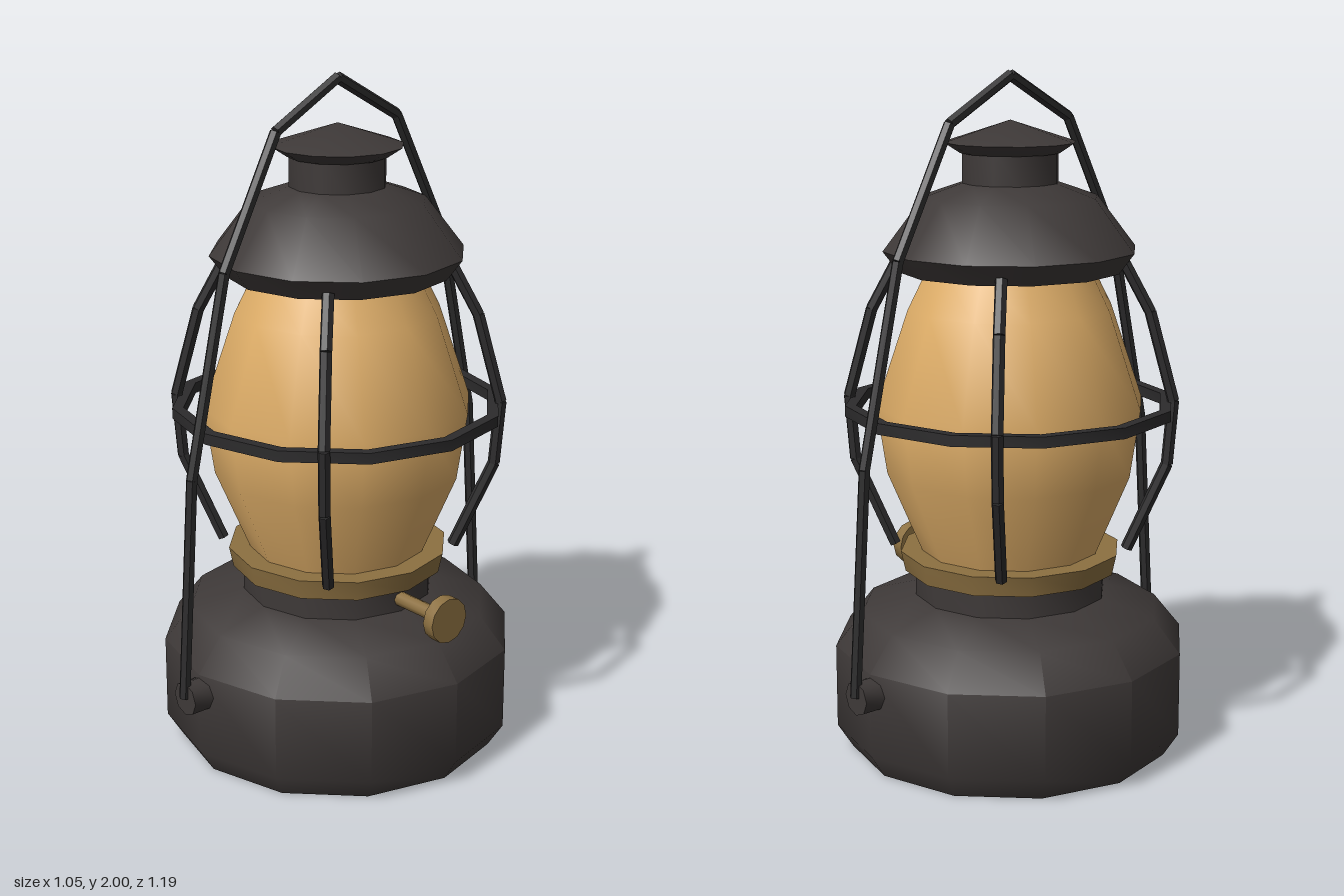
import * as THREE from 'three';
import { toCreasedNormals } from 'three/addons/utils/BufferGeometryUtils.js';

export function createModel() {
  const lantern = new THREE.Group();
  lantern.name = 'lantern';

  const material = (name, color) => {
    const m = new THREE.MeshStandardMaterial({ color });
    m.name = name;
    return m;
  };
  const darkMetal = material('darkMetal', 0x3e3938);
  const wireMetal = material('wireMetal', 0x2c2b2c);
  const brass = material('brass', 0x8c7041);
  const glass = material('amberGlass', 0xdfae68);

  const add = (name, geometry, mat, parent = lantern) => {
    const mesh = new THREE.Mesh(geometry, mat);
    mesh.name = name;
    parent.add(mesh);
    return mesh;
  };
  // Twelve-sided turned part, profile as [radius, height] from bottom to top
  const turned = (name, profile, mat) => add(name, toCreasedNormals(
    new THREE.LatheGeometry(profile.map(([r, y]) => new THREE.Vector2(r, y)), 12), 0.75), mat);
  // Chain of straight rods through a list of points
  const rods = (name, points, radius, sides) => {
    const group = new THREE.Group();
    group.name = name;
    for (let i = 0; i < points.length - 1; i++) {
      const a = points[i], dir = points[i + 1].clone().sub(a);
      const rod = add(name + 'Rod', toCreasedNormals(
        new THREE.CylinderGeometry(radius, radius, dir.length(), sides), 0.75), wireMetal, group);
      rod.position.copy(a).addScaledVector(dir, 0.5);
      rod.quaternion.setFromUnitVectors(new THREE.Vector3(0, 1, 0), dir.normalize());
    }
    lantern.add(group);
  };

  // Fuel tank with its collar
  turned('fuelTank', [[0, 0], [0.48, 0], [0.525, 0.07], [0.525, 0.32], [0.445, 0.42], [0.285, 0.465]], darkMetal);
  turned('collar', [[0.285, 0.45], [0.285, 0.55]], darkMetal);
  turned('burnerRing', [[0, 0.54], [0.315, 0.54], [0.328, 0.6], [0, 0.6]], brass);

  // Glass globe
  turned('globe', [[0.26, 0.59], [0.365, 0.84], [0.395, 1.04], [0.3, 1.32], [0.24, 1.44]], glass);

  // Hood, chimney and cap
  turned('hood', [[0, 1.43], [0.325, 1.43], [0.37, 1.49], [0.255, 1.64], [0.14, 1.68]], darkMetal);
  turned('chimney', [[0.14, 1.67], [0.14, 1.78]], darkMetal);
  turned('cap', [[0, 1.765], [0.145, 1.765], [0.19, 1.795], [0, 1.857]], darkMetal);

  // Wire guard: a hoop and four bent uprights
  turned('guardHoop', [[0.452, 1.014], [0.485, 1.014], [0.485, 1.046], [0.452, 1.046], [0.452, 1.014]], wireMetal);
  const upright = [[0.345, 0.6], [0.46, 0.86], [0.475, 1.05], [0.405, 1.31], [0.33, 1.45]];
  for (let i = 0; i < 4; i++) {
    const angle = Math.PI / 4 + i * Math.PI / 2;
    rods('guardUpright', upright.map(([r, y]) =>
      new THREE.Vector3(r * Math.cos(angle), y, r * Math.sin(angle))), 0.018, 6);
  }

  // Carrying handle, mirrored front to back
  const half = [[0.577, 0.265], [0.533, 0.92], [0.407, 1.49], [0.222, 1.856]];
  rods('handle', [
    ...half.map(([z, y]) => new THREE.Vector3(0, y, z)),
    new THREE.Vector3(0, 1.982, 0),
    ...half.map(([z, y]) => new THREE.Vector3(0, y, -z)).reverse(),
  ], 0.017, 6);
  for (const side of [1, -1]) {
    const pivot = add('handlePivot', toCreasedNormals(
      new THREE.CylinderGeometry(0.05, 0.05, 0.08, 8), 0.8), darkMetal);
    pivot.rotation.x = Math.PI / 2;
    pivot.position.set(0, 0.26, side * 0.536);
  }

  // Wick knob on its stem
  const turnSideways = (mesh, x) => {
    mesh.rotation.z = -Math.PI / 2;
    mesh.position.set(x, 0.503, 0);
  };
  turnSideways(add('knobStem', toCreasedNormals(
    new THREE.CylinderGeometry(0.022, 0.022, 0.2, 8), 0.8), brass), 0.36);
  turnSideways(add('knob', toCreasedNormals(
    new THREE.CylinderGeometry(0.067, 0.067, 0.037, 12), 0.75), brass), 0.468);

  return lantern;
}
